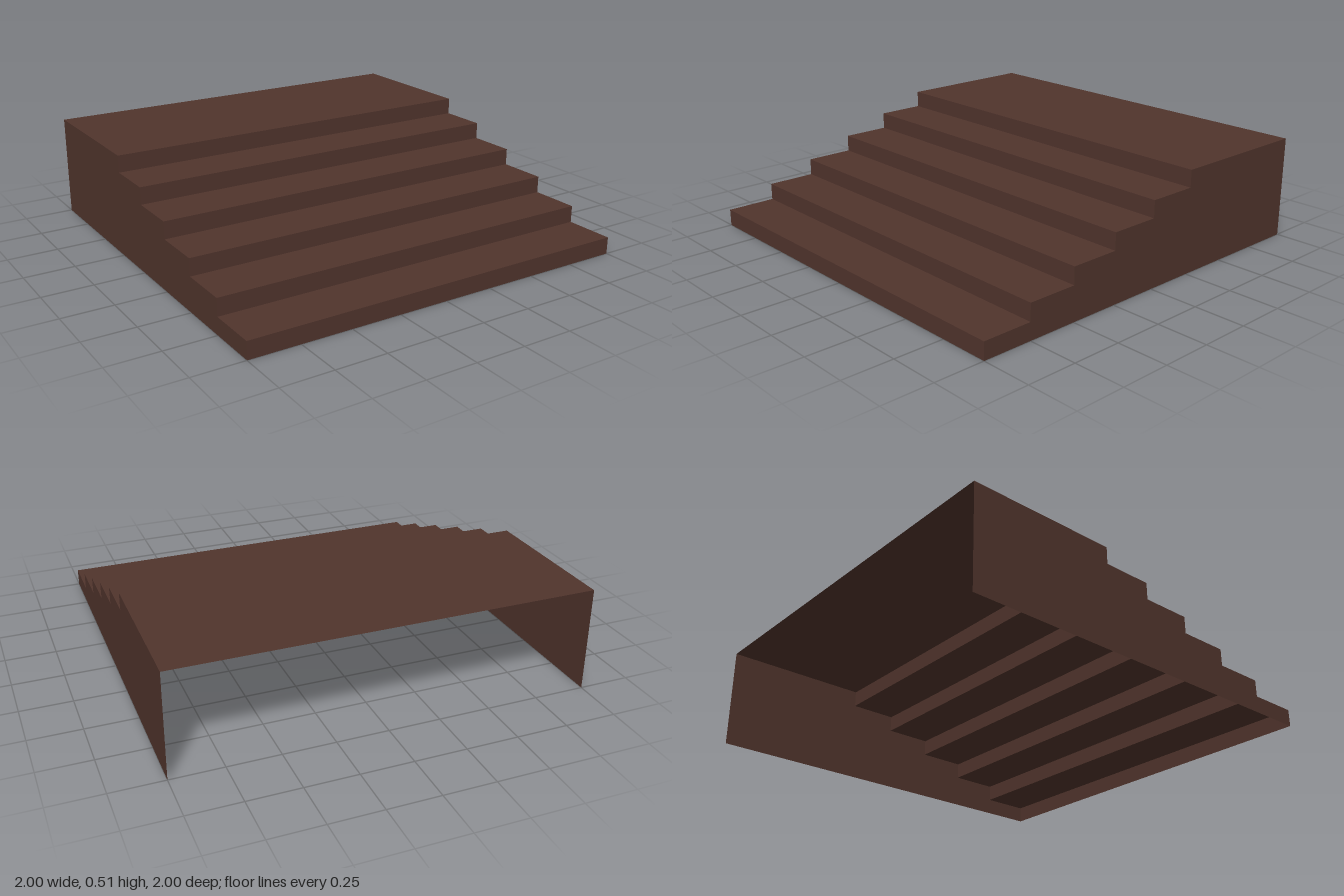
import * as THREE from 'three';

const STEPS = 6, RISE = 0.51 / STEPS, RUN = 0.25;

export function createModel() {
  const model = new THREE.Group();
  model.name = 'staircase';

  const brown = new THREE.MeshStandardMaterial({ color: 0x50342c, side: THREE.DoubleSide });
  brown.name = 'darkBrown';

  const add = (name, geometry) => {
    const mesh = new THREE.Mesh(geometry, brown);
    mesh.name = name;
    model.add(mesh);
  };

  // Risers and treads: an open shell; the last tread is the deep platform
  for (let i = 0; i < STEPS; i++) {
    const front = 1 - i * RUN;
    const back = i === STEPS - 1 ? -1 : front - RUN;
    add(`riser${i + 1}`, new THREE.PlaneGeometry(2, RISE).translate(0, (i + 0.5) * RISE, front));
    add(i === STEPS - 1 ? 'platform' : `tread${i + 1}`,
      new THREE.PlaneGeometry(2, front - back).rotateX(-Math.PI / 2)
        .translate(0, (i + 1) * RISE, (front + back) / 2));
  }

  // Stepped side walls; shape x runs toward the back (-z)
  const profile = new THREE.Shape();
  profile.moveTo(-1, 0);
  for (let i = 0; i < STEPS; i++) {
    profile.lineTo(-1 + i * RUN, (i + 1) * RISE);
    profile.lineTo(i === STEPS - 1 ? 1 : -1 + (i + 1) * RUN, (i + 1) * RISE);
  }
  profile.lineTo(1, 0);
  for (const [name, x] of [['leftWall', 1], ['rightWall', -1]]) {
    add(name, new THREE.ShapeGeometry(profile).rotateY(Math.PI / 2).translate(x, 0, 0));
  }

  return model;
}
